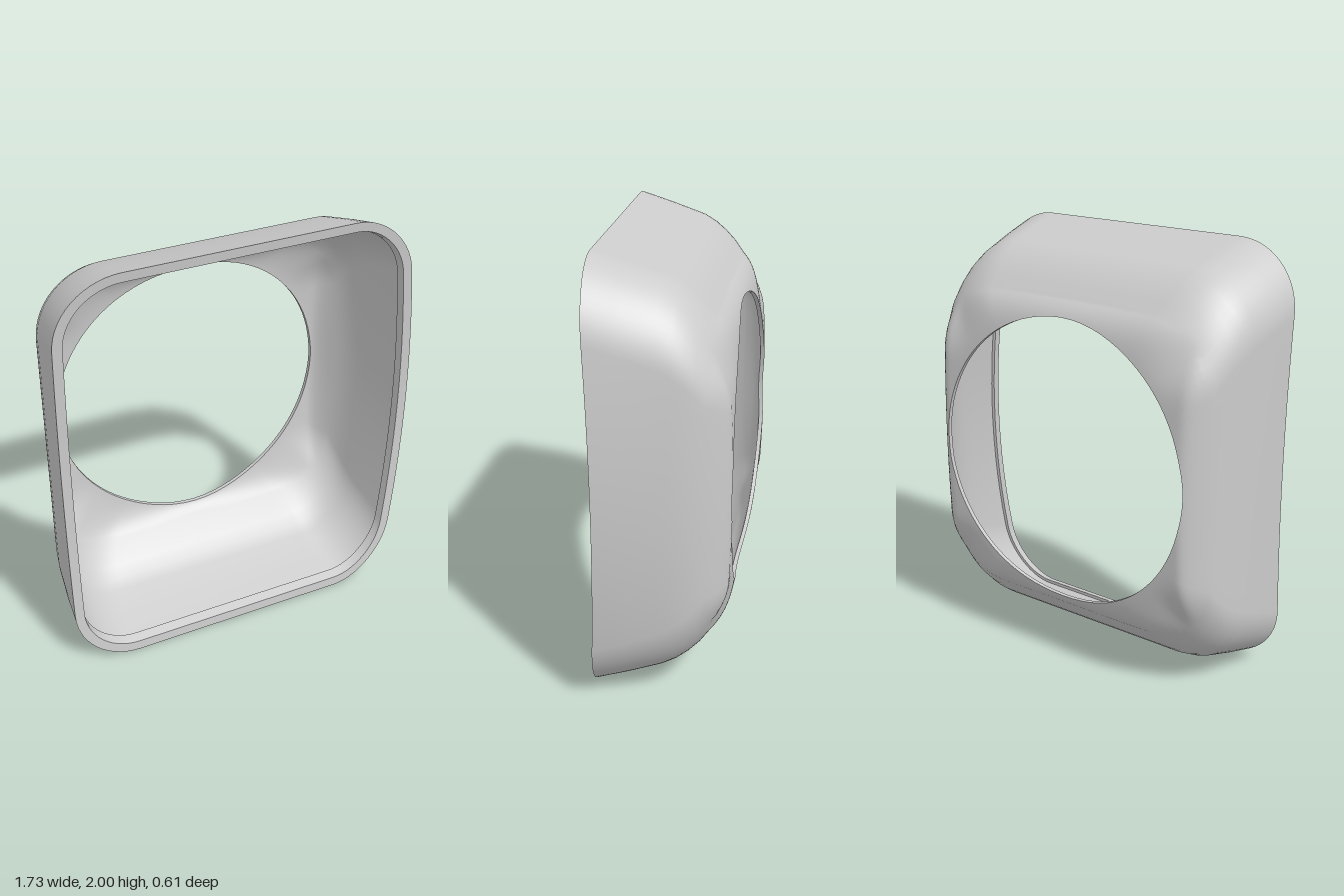
import * as THREE from 'three';

const HOLE = { x: -0.03, r: 0.668 };
const CORNER_STEPS = 14, EDGE_STEPS = 14;

// Wall levels, front to back: z, forward bow of the ends, left and right half-width,
// half-height, bow of the right side
const LEVELS = [
  [0.25, 0.055, 0.865, 0.862, 1.0, 0.11],
  [0.13, 0.03, 0.856, 0.838, 0.957, 0.1],
  [0.0, 0.0, 0.84, 0.808, 0.908, 0.09],
  [-0.06, 0.0, 0.829, 0.794, 0.876, 0.08],
  [-0.11, 0.0, 0.816, 0.779, 0.838, 0.07],
  [-0.16, 0.0, 0.8, 0.76, 0.79, 0.06],
  [-0.2, 0.0, 0.782, 0.737, 0.74, 0.05],
];
const LAST = LEVELS[LEVELS.length - 1];

// Rounded-rectangle ring, counter-clockwise from the front, inset by a wall thickness
function ring([z, bend, left, right, high, bow], inset = 0, dz = 0) {
  const l = left - inset, r = right - inset, h = high - inset, rad = 0.3 - inset;
  const corners = [[r - rad, h - rad], [rad - l, h - rad], [rad - l, rad - h], [r - rad, rad - h]];
  const pts = [];
  corners.forEach(([cx, cy], q) => {
    for (let i = 0; i <= CORNER_STEPS; i++) {
      const a = (q + i / CORNER_STEPS) * Math.PI / 2;
      pts.push(new THREE.Vector3(cx + rad * Math.cos(a), cy + rad * Math.sin(a), 0));
    }
    // straight run to the next corner
    const from = pts[pts.length - 1].clone();
    const a = (q + 1) * Math.PI / 2, [nx, ny] = corners[(q + 1) % 4];
    const to = new THREE.Vector3(nx + rad * Math.cos(a), ny + rad * Math.sin(a), 0);
    for (let i = 1; i < EDGE_STEPS; i++) pts.push(from.clone().lerp(to, i / EDGE_STEPS));
  });
  for (const p of pts) {
    p.x -= bow * p.y * p.y * Math.max(0, p.x / r);
    p.z = z + dz + bend * p.y * p.y;
  }
  return pts;
}

// Height of the back: gently curved from top to bottom, rolled over at the sides
function backZ(x, y) {
  const v = Math.abs(y) / HOLE.r;
  const endDrop = 0.024 * v ** 2 + 0.02 * v ** 12;
  const edge = x > 0 ? LAST[3] - LAST[5] * y * y - x : LAST[2] + x;
  const sideDrop = 0.105 * Math.max(0, 1 - edge / 0.11) ** 1.7;
  return -0.306 + Math.hypot(endDrop, sideDrop);
}

// Rounded shoulder rings from the last wall ring to the round opening
function shoulder(base, dz = 0, steps = 10) {
  const rings = [];
  for (let k = 1; k <= steps; k++) {
    const s = k / steps;
    rings.push(base.map((p) => {
      const a = Math.atan2(p.y, p.x - HOLE.x);
      const x = THREE.MathUtils.lerp(p.x, HOLE.x + HOLE.r * Math.cos(a), s);
      const y = THREE.MathUtils.lerp(p.y, HOLE.r * Math.sin(a), s);
      const gap = p.z - backZ(p.x, p.y) - dz;
      return new THREE.Vector3(x, y, backZ(x, y) + dz + gap * (1 - s) ** 1.6);
    }));
  }
  return rings;
}

// Smooth skin through a list of closed rings
function loft(rings) {
  const n = rings[0].length, index = [];
  for (let j = 0; j < rings.length - 1; j++) {
    for (let i = 0; i < n; i++) {
      const a = j * n + i, b = j * n + (i + 1) % n;
      index.push(a, a + n, b, b, a + n, b + n);
    }
  }
  const geo = new THREE.BufferGeometry().setFromPoints(rings.flat());
  geo.setIndex(index);
  geo.computeVertexNormals();
  return geo;
}

export function createModel() {
  const group = new THREE.Group();
  group.name = 'roundedBezel';
  const material = new THREE.MeshStandardMaterial({ color: 0xcccccc, side: THREE.DoubleSide });
  const add = (name, rings) => {
    const mesh = new THREE.Mesh(loft(rings), material);
    mesh.name = name;
    mesh.position.y = 1;
    group.add(mesh);
  };

  // Outer shell
  const walls = LEVELS.map((l) => ring(l));
  const outer = [...walls, ...shoulder(walls[walls.length - 1])];
  add('outerShell', outer);

  // Inner shell, a thin even wall behind the lip
  const lipLevel = [0.21, 0.05, 0.862, 0.855, 0.986, 0.108];
  const innerWalls = [lipLevel, ...LEVELS.slice(1)].map((l, i) => {
    const t = i / (LEVELS.length - 1);
    return ring(l, 0.028 - 0.008 * t, 0.012 * t);
  });
  const inner = [...innerWalls, ...shoulder(innerWalls[innerWalls.length - 1], 0.02)];
  add('innerShell', [...inner].reverse());

  // Edge of the round opening
  add('openingEdge', [outer[outer.length - 1], inner[inner.length - 1]]);

  // Front rim with a lip that stands proud of the inner wall
  const rimInner = ring(LEVELS[0], 0.045);
  const lipBack = ring(lipLevel, 0.045);
  add('lipLedge', [inner[0], lipBack]);
  add('lipWall', [lipBack, rimInner]);
  add('frontRim', [rimInner, outer[0]]);

  return group;
}
